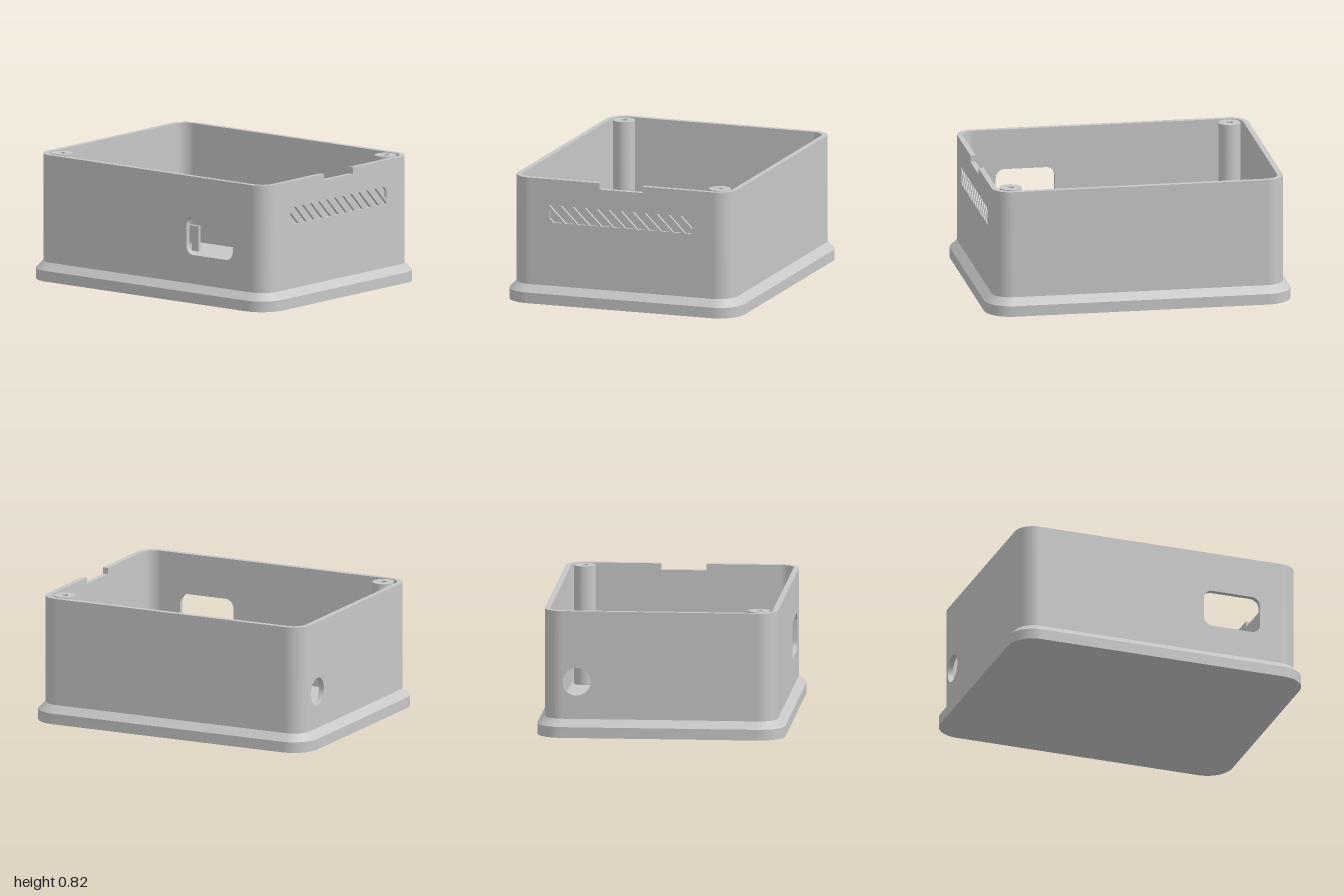
import * as THREE from 'three';
import { toCreasedNormals } from 'three/addons/utils/BufferGeometryUtils.js';

const HX = 0.753, HZ = 0.952, R = 0.122, T = 0.035; // outer wall half sizes, corner radius, thickness
const TOP = 0.82, FLOOR = 0.045, LIP = 0.048;
const RECESS = 0.018; // depth of the blind vent grooves

const grey = new THREE.MeshStandardMaterial({ color: 0xc7c7c7 });
grey.name = 'grey plastic';

function part(name, geometry, parent) {
  const mesh = new THREE.Mesh(toCreasedNormals(geometry, 0.5), grey);
  mesh.name = name;
  parent.add(mesh);
  return mesh;
}

const polygon = (pts) => new THREE.Shape(pts.map(([x, y]) => new THREE.Vector2(x, y)));
const extrude = (shape, depth) =>
  new THREE.ExtrudeGeometry(shape, { depth, bevelEnabled: false, curveSegments: 12 });

// Points around a rounded rectangle, as [x, z]
function roundedLoop(hx, hz, r, steps = 10) {
  const pts = [];
  [[1, 1], [-1, 1], [-1, -1], [1, -1]].forEach(([sx, sz], q) => {
    for (let i = 0; i <= steps; i++) {
      const a = (q + i / steps) * Math.PI / 2;
      pts.push([sx * (hx - r) + r * Math.cos(a), sz * (hz - r) + r * Math.sin(a)]);
    }
  });
  return pts;
}

// Skin between rounded-rectangle sections [hx, hz, r, y], bottom to top
function loft(sections) {
  const loops = sections.map(([hx, hz, r, y]) => roundedLoop(hx, hz, r).map(([x, z]) => [x, y, z]));
  const n = loops[0].length, pos = [];
  for (let k = 0; k + 1 < loops.length; k++) {
    for (let i = 0; i < n; i++) {
      const j = (i + 1) % n, lo = loops[k], up = loops[k + 1];
      pos.push(...lo[i], ...up[i], ...lo[j], ...up[i], ...up[j], ...lo[j]);
    }
  }
  const g = new THREE.BufferGeometry();
  g.setAttribute('position', new THREE.Float32BufferAttribute(pos, 3));
  return g;
}

// Cut a polygon at x = limit, keeping the side where sign * x is smaller
function clipX(pts, limit, sign) {
  const out = [];
  pts.forEach((p, i) => {
    const q = pts[(i + 1) % pts.length];
    const pin = sign * p[0] <= sign * limit, qin = sign * q[0] <= sign * limit;
    if (pin) out.push(p);
    if (pin !== qin) out.push([limit, p[1] + (q[1] - p[1]) * (limit - p[0]) / (q[0] - p[0])]);
  });
  return out;
}

// Slanted vent slots, trimmed to a rectangle
function ventSlots() {
  const y0 = 0.534, y1 = 0.648, lean = (y1 - y0) / 2, w = 0.0275, slots = [];
  for (let k = -6; k <= 6; k++) {
    const c = k * 0.082;
    let pts = [[c + lean - w, y0], [c + lean + w, y0], [c - lean + w, y1], [c - lean - w, y1]];
    pts = clipX(clipX(pts, 0.49, 1), -0.49, -1);
    slots.push(polygon(pts));
  }
  return slots;
}

function roundWindow(cx, cy, hw, hh, r) {
  return polygon(roundedLoop(hw, hh, r, 8).map(([x, y]) => [cx + x, cy + y]));
}

// Flat wall whose outer face lies at the given distance, turned about y
function wallPanel(name, parent, { half, distance, angle, holes = [], notch = false, thickness = T }) {
  const pts = [[-half, FLOOR], [half, FLOOR], [half, TOP]];
  if (notch) pts.push([0.148, TOP], [0.148, TOP - 0.042], [-0.148, TOP - 0.042], [-0.148, TOP]);
  pts.push([-half, TOP]);
  const shape = polygon(pts);
  shape.holes.push(...holes);
  const g = extrude(shape, thickness);
  g.translate(0, 0, distance - thickness);
  g.rotateY(angle);
  part(name, g, parent);
}

export function createModel() {
  const model = new THREE.Group();
  model.name = 'enclosure';

  // Base with chamfered lip, underside and inner floor
  const bottomR = R + LIP;
  part('baseLip', loft([
    [HX + LIP, HZ + LIP, bottomR, 0],
    [HX + LIP, HZ + LIP, bottomR, 0.07],
    [HX, HZ, R, 0.117],
  ]), model);
  const underside = new THREE.ShapeGeometry(polygon(roundedLoop(HX + LIP, HZ + LIP, bottomR)));
  part('underside', underside.rotateX(Math.PI / 2), model);
  const floor = new THREE.ShapeGeometry(polygon(roundedLoop(HX - T / 2, HZ - T / 2, R - T / 2)));
  part('floor', floor.rotateX(-Math.PI / 2), model).position.y = FLOOR;

  // Flat walls; the front has a grooved outer layer over a plain inner layer
  const walls = new THREE.Group();
  walls.name = 'walls';
  model.add(walls);
  const front = { half: HX - R, angle: 0, notch: true };
  wallPanel('frontWallOuter', walls, { ...front, distance: HZ, thickness: RECESS, holes: ventSlots() });
  wallPanel('frontWallInner', walls, { ...front, distance: HZ - RECESS, thickness: T - RECESS });
  const cableHole = roundWindow(-0.537, 0.36, 0.091, 0.091, 0.091);
  wallPanel('backWall', walls, { half: HX - R, distance: HZ, angle: Math.PI, holes: [cableHole] });
  wallPanel('leftWall', walls, { half: HZ - R, distance: HX, angle: Math.PI / 2 });
  const portWindow = roundWindow(0.493, 0.43, 0.193, 0.124, 0.058);
  wallPanel('rightWall', walls, { half: HZ - R, distance: HX, angle: -Math.PI / 2, holes: [portWindow] });

  // Rounded wall corners
  const quarter = new THREE.Shape();
  quarter.absarc(0, 0, R, 0, Math.PI / 2, false);
  quarter.absarc(0, 0, R - T, Math.PI / 2, 0, true);
  const cornerGeometry = extrude(quarter, TOP - FLOOR).rotateX(-Math.PI / 2);
  [[1, -1], [-1, -1], [-1, 1], [1, 1]].forEach(([sx, sz], k) => {
    const corner = part('wallCorner', cornerGeometry, walls);
    corner.rotation.y = k * Math.PI / 2;
    corner.position.set(sx * (HX - R), FLOOR, sz * (HZ - R));
  });

  // Screw posts in two opposite corners
  const postProfile = [[0.071, FLOOR], [0.071, TOP], [0.022, TOP], [0.022, 0.4], [0, 0.4]]
    .map(([x, y]) => new THREE.Vector2(x, y));
  for (const s of [-1, 1]) {
    part('screwPost', new THREE.LatheGeometry(postProfile, 40), model).position.set(s * 0.632, 0, s * 0.828);
  }

  // Board holders: L-shaped clip around a small support block
  for (const sx of [-1, 1]) {
    for (const sz of [-1, 1]) {
      const holder = new THREE.Group();
      holder.name = 'boardHolder';
      holder.position.set(sx * 0.485, FLOOR, -0.1 + sz * 0.647);
      model.add(holder);
      const a = 0.158, t = 0.024, c = 0.01;
      const outline = [[c, 0], [a, 0], [a, t], [t, t], [t, a], [0, a], [0, c]];
      const clip = polygon(outline.map(([x, z]) => [-sx * x, sz * z]));
      part('clip', extrude(clip, 0.165).rotateX(-Math.PI / 2), holder);
      const block = part('supportBlock', new THREE.BoxGeometry(0.082, 0.045, 0.082), holder);
      block.position.set(-sx * (t + 0.041), 0.0225, -sz * (t + 0.041));
    }
  }
  return model;
}
